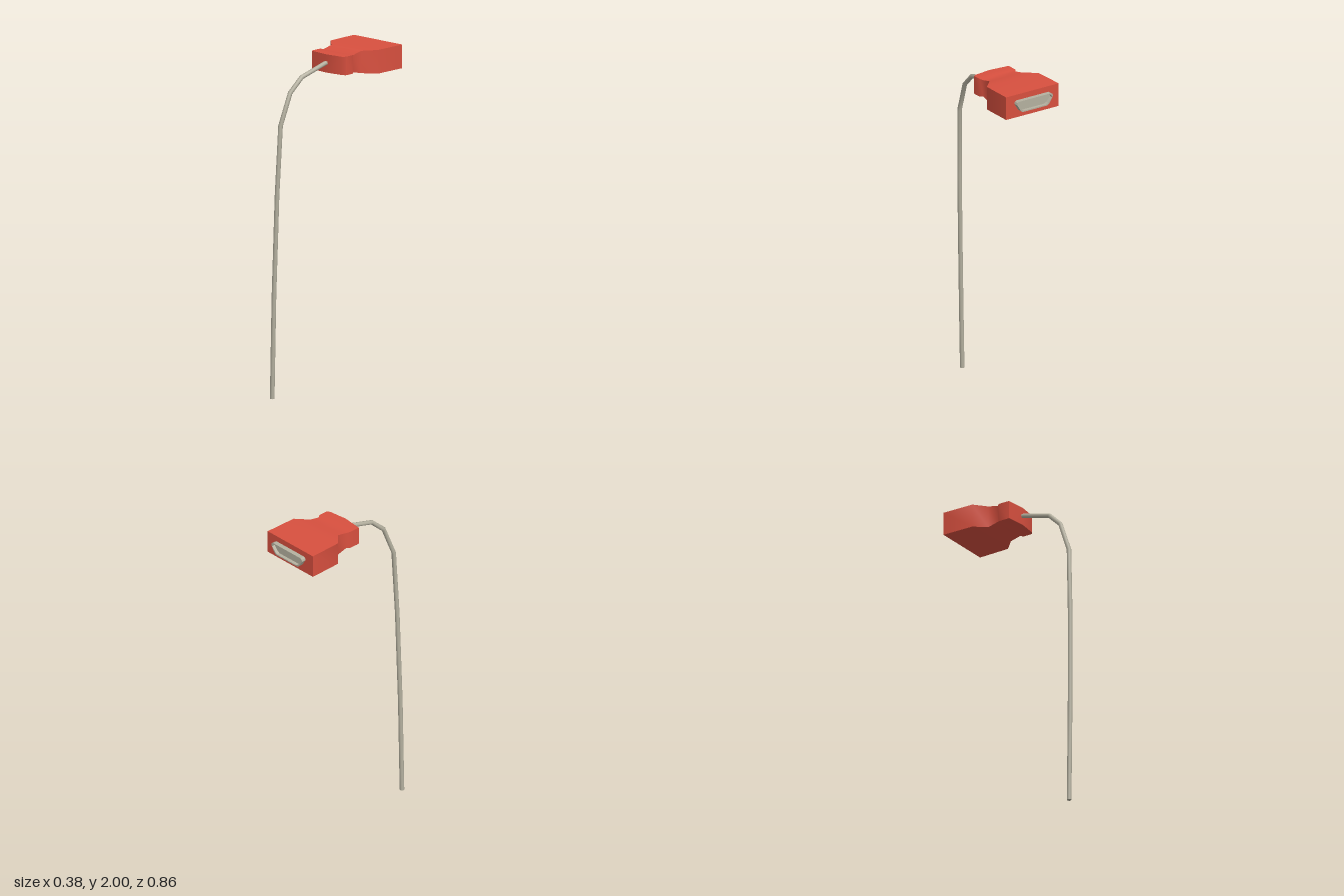
import * as THREE from 'three';
import { toCreasedNormals } from 'three/addons/utils/BufferGeometryUtils.js';

const red = new THREE.MeshStandardMaterial({ color: 0xd8503f });
const beige = new THREE.MeshStandardMaterial({ color: 0xb5b1a0, side: THREE.DoubleSide });

// A run of straight pieces whose corners fall exactly on the given points
class Polyline extends THREE.Curve {
  constructor(points) {
    super();
    this.points = points;
  }
  getPointAt(u, target = new THREE.Vector3()) {
    return target.copy(this.points[Math.round(u * (this.points.length - 1))]);
  }
  getTangentAt(u, target = new THREE.Vector3()) {
    const p = this.points, i = Math.round(u * (p.length - 1));
    target.set(0, 0, 0);
    if (i > 0) target.add(p[i].clone().sub(p[i - 1]).normalize());
    if (i < p.length - 1) target.add(p[i + 1].clone().sub(p[i]).normalize());
    return target.normalize();
  }
}

// Lofts rectangular sections [z, left x, right x, bottom y, top y, bow of the middle]
function loft(sections) {
  const positions = [], index = [];
  const n = 6, last = (sections.length - 1) * n;
  for (const [z, xl, xr, lo, hi, bow = 0] of sections) {
    const ring = [[xl, lo], [0, lo], [xr, lo], [xr, hi], [0, hi], [xl, hi]];
    for (const [x, y] of ring) positions.push(x, y, z - 0.024 * x + (x === 0 ? bow : 0));
  }
  for (let a = 0; a < last; a += n) {
    for (let j = 0; j < n; j++) {
      const k = (j + 1) % n;
      index.push(a + j, a + k, a + n + k, a + j, a + n + k, a + n + j);
    }
  }
  for (const [a, b, c] of [[0, 1, 4], [0, 4, 5], [1, 2, 3], [1, 3, 4]]) {
    index.push(a, c, b, last + a, last + b, last + c);
  }
  const geometry = new THREE.BufferGeometry();
  geometry.setAttribute('position', new THREE.Float32BufferAttribute(positions, 3));
  geometry.setIndex(index);
  return toCreasedNormals(geometry, 0.9);
}

// D-shaped outline, wider at the top, with cut corners
function dOutline(PathType, inset) {
  const t = 0.035 - inset, w = 0.128 - inset, b = 0.1 - inset;
  const half = [[b - 0.012, -t], [b, -t + 0.008], [w, t - 0.018], [w - 0.004, t - 0.006], [w - 0.014, t]];
  const mirrored = half.map(([x, y]) => [-x, y]).reverse();
  return new PathType([...half, ...mirrored].map(([x, y]) => new THREE.Vector2(x, y)));
}

export function createModel() {
  const model = new THREE.Group();
  const add = (name, geometry, material, parent = model) => {
    const mesh = new THREE.Mesh(geometry, material);
    mesh.name = name;
    parent.add(mesh);
    return mesh;
  };

  // Housing: wide hood, tapered shoulder, narrow neck and front collar
  add('housing', loft([
    [-0.398, -0.188, 0.187, 1.86, 2.0],
    [-0.198, -0.183, 0.184, 1.86, 2.0],
    [-0.131, -0.115, 0.117, 1.864, 1.996],
    [-0.065, -0.114, 0.117, 1.88, 1.982],
    [-0.048, -0.125, 0.128, 1.876, 1.986],
    [0.009, -0.125, 0.128, 1.876, 1.986],
    [0.022, -0.124, 0.11, 1.877, 1.985, 0.013],
  ]), red);

  // Plug: thin D-shaped metal shell with a floor set back inside it
  const plug = new THREE.Group();
  plug.name = 'plug';
  plug.position.set(0, 1.93, -0.426);
  plug.rotation.y = 0.024;
  model.add(plug);
  const shell = dOutline(THREE.Shape, 0);
  shell.holes.push(dOutline(THREE.Path, 0.007));
  add('plugShell', new THREE.ExtrudeGeometry(shell, { depth: 0.04, bevelEnabled: false }), beige, plug);
  const floor = add('plugFloor', new THREE.ShapeGeometry(dOutline(THREE.Shape, 0.004)), beige, plug);
  floor.position.z = 0.02;

  // Cable: leaves the collar, bends over and hangs to the ground
  const path = [
    [-0.002, 1.936, 0.0], [-0.003, 1.932, 0.045], [-0.01, 1.88, 0.23], [-0.02, 1.8, 0.315],
    [-0.031, 1.615, 0.384], [-0.043, 1.2, 0.401], [-0.058, 0.6, 0.411], [-0.07, 0, 0.413],
  ].map((p) => new THREE.Vector3(...p));
  const sides = 8, radius = 0.0135;
  add('cable', new THREE.TubeGeometry(new Polyline(path), path.length - 1, radius, sides), beige);
  const end = add('cableEnd', new THREE.CircleGeometry(radius, sides), beige);
  end.position.copy(path[path.length - 1]);
  end.rotation.x = Math.PI / 2;

  return model;
}
